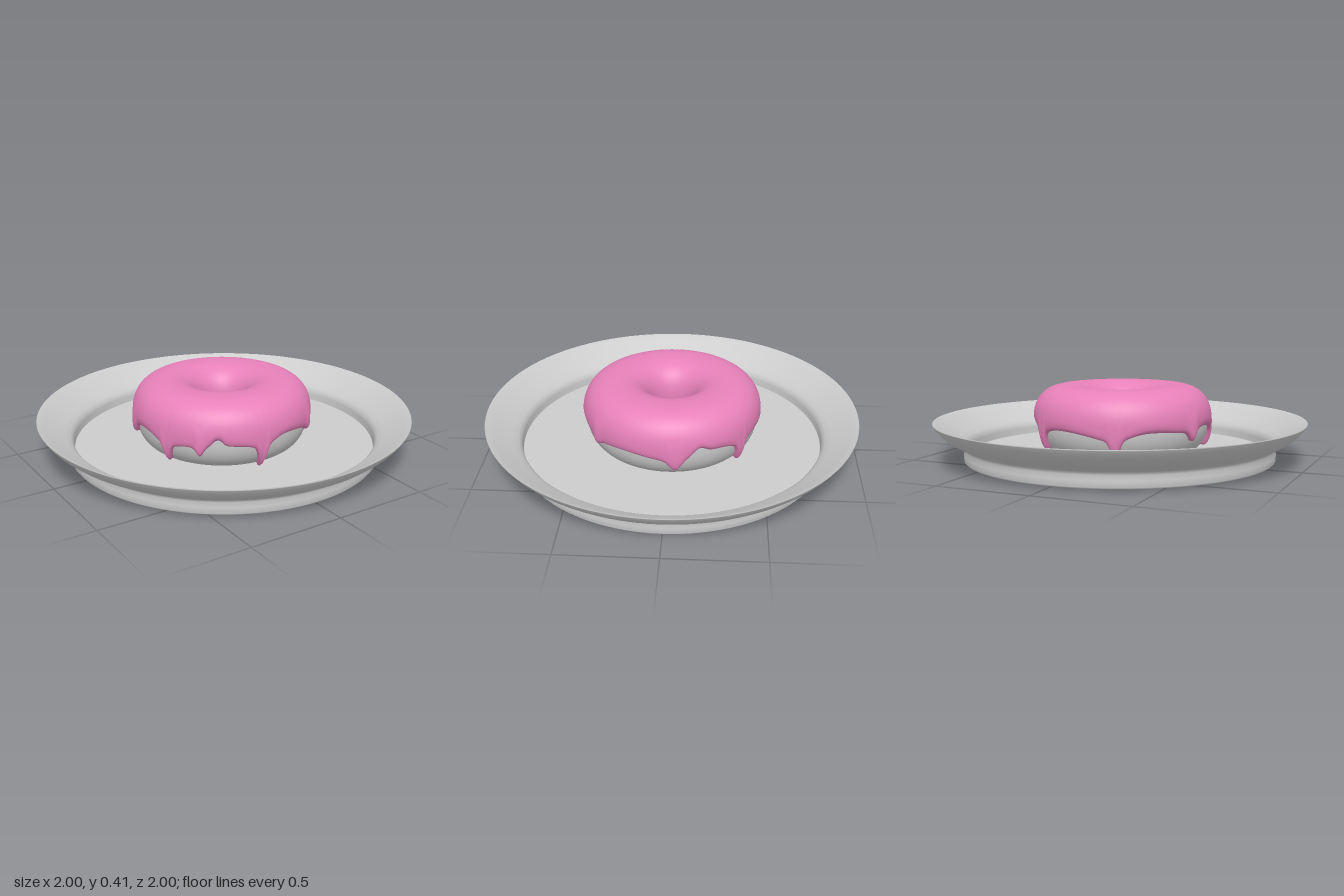
import * as THREE from 'three';

const glaze = new THREE.MeshStandardMaterial({ name: 'pink icing', color: 0xe781b9 });
const pale = new THREE.MeshStandardMaterial({ name: 'pale grey', color: 0xcccccc });

// Ring cross-section: a slightly squared ellipse, deeper below its middle
const RING = 0.294, MID = 0.226, HALF_W = 0.167, ABOVE = 0.164, BELOW = 0.186, POWER = 2.35;

function ringPoint(around, p, grow) {
  const squash = (s) => Math.sign(s) * Math.abs(s) ** (2 / POWER);
  const height = Math.sin(p) > 0 ? ABOVE : BELOW;
  const r = RING + (HALF_W + grow) * squash(Math.cos(p));
  const y = MID + (height + grow) * squash(Math.sin(p));
  return [r * Math.sin(around), y, r * Math.cos(around)];
}

// Grid wrapped around y; optionally closed along the section as well
function wrappedGrid(nu, nv, closed, pointAt) {
  const pos = [], index = [];
  const rows = closed ? nv : nv + 1;
  for (let i = 0; i < nu; i++)
    for (let j = 0; j < rows; j++) pos.push(...pointAt((i / nu) * Math.PI * 2, j / nv));
  for (let i = 0; i < nu; i++)
    for (let j = 0; j < nv; j++) {
      const i2 = (i + 1) % nu, j2 = (j + 1) % rows;
      const a = i * rows + j, b = i * rows + j2, c = i2 * rows + j2, d = i2 * rows + j;
      index.push(a, b, d, b, c, d);
    }
  const geo = new THREE.BufferGeometry();
  geo.setAttribute('position', new THREE.Float32BufferAttribute(pos, 3));
  geo.setIndex(index);
  geo.computeVertexNormals();
  return geo;
}

// Drips: [degrees from front towards +x, tip height, half-width in degrees]
const drips = [
  [-6, 0.065, 3], [39, 0.165, 4], [95, 0.12, 5], [142, 0.09, 3],
  [199, 0.075, 3.5], [253, 0.145, 4], [291, 0.085, 3], [314, 0.14, 3],
];
// Places where the edge arches up, in the same form
const arches = [[111, 0.24, 5], [325, 0.23, 4]];

// Height of the icing's outer edge, and how much of a drip is there
function icingEdge(around) {
  const deg = THREE.MathUtils.radToDeg(around);
  const bell = (at, width) => {
    const d = Math.abs(((deg - at + 540) % 360) - 180);
    return Math.exp(-((d / width) ** 2));
  };
  const base = 0.196 + 0.01 * Math.sin(3 * around + 1) + 0.007 * Math.sin(7 * around);
  let y = base, drip = 0;
  for (const [at, tip, width] of drips) {
    const narrow = bell(at, width);
    y += (tip - base) * (0.8 * narrow + 0.2 * bell(at, width * 3));
    drip = Math.max(drip, narrow);
  }
  for (const [at, top, width] of arches) y += (top - base) * bell(at, width);
  return { y: Math.max(y, 0.06), drip };
}

function icingPoint(around, v) {
  const { y, drip } = icingEdge(around);
  const drop = (y - MID) / (y > MID ? ABOVE : BELOW);
  const end = Math.asin(Math.sign(drop) * Math.abs(drop) ** (POWER / 2));
  const start = Math.PI + 0.35;
  const p = start + (end - start) * v;
  // Rounded lip at both edges, thicker at the drip tips
  const lip = Math.min(1, Math.min(v, 1 - v) / 0.05);
  const bead = drip * 0.01 * THREE.MathUtils.smoothstep(v, 0.8, 0.95);
  const grow = -0.004 + (0.022 + bead) * Math.sqrt(1 - (1 - lip) ** 2);
  return ringPoint(around, p, grow);
}

export function createModel() {
  const model = new THREE.Group();
  model.name = 'doughnutOnPlate';

  // Plate: foot, flared rim and recessed floor in one turned profile
  const profile = [
    [0, 0], [0.6, 0.002], [0.822, 0.008], [0.83, 0.01], [0.838, 0.018], [0.838, 0.05],
    [0.834, 0.075], [0.842, 0.092], [0.88, 0.11], [0.925, 0.136], [0.96, 0.165],
    [0.984, 0.192], [0.998, 0.214], [1, 0.218], [0.997, 0.22], [0.96, 0.2],
    [0.91, 0.168], [0.86, 0.138], [0.83, 0.118], [0.816, 0.1], [0.811, 0.08],
    [0.81, 0.047], [0.807, 0.045], [0, 0.045],
  ].map(([x, y]) => new THREE.Vector2(x, y));
  const plate = new THREE.Mesh(new THREE.LatheGeometry(profile, 96), pale);
  plate.name = 'plate';
  model.add(plate);

  // Doughnut sits slightly off centre
  const doughnut = new THREE.Group();
  doughnut.name = 'doughnut';
  doughnut.position.x = -0.015;
  model.add(doughnut);

  const dough = new THREE.Mesh(
    wrappedGrid(96, 48, true, (u, v) => ringPoint(u, Math.PI * (1 - 2 * v), 0)), pale);
  dough.name = 'dough';

  const icing = new THREE.Mesh(wrappedGrid(360, 80, false, icingPoint), glaze);
  icing.name = 'icing';
  doughnut.add(dough, icing);

  return model;
}
